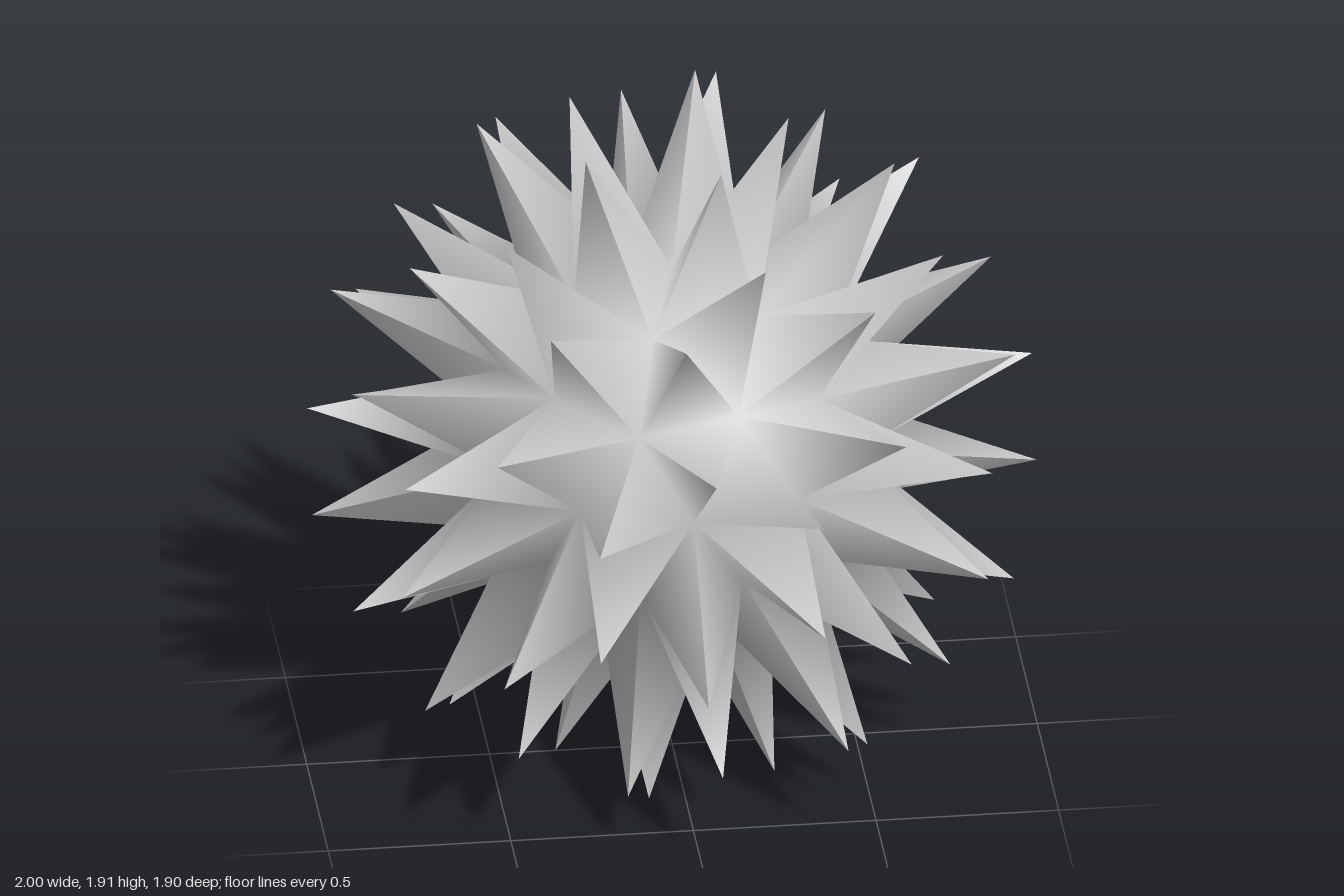
import * as THREE from 'three';

const CORE = 0.51;    // radius of the dimples between spikes
const SPIKE = 0.528;  // spike length above its triangular base
const CENTRE_Y = 0.958;

// The twenty triangles of an icosahedron standing on a corner
function icosahedronFaces() {
  const ring = (y, offset) => Array.from({ length: 5 }, (_, k) => {
    const a = offset + k * Math.PI * 2 / 5, r = 2 / Math.sqrt(5);
    return new THREE.Vector3(r * Math.cos(a), y, r * Math.sin(a));
  });
  const top = new THREE.Vector3(0, 1, 0), bottom = new THREE.Vector3(0, -1, 0);
  const upper = ring(1 / Math.sqrt(5), Math.PI / 5);
  const lower = ring(-1 / Math.sqrt(5), 0);
  const faces = [];
  for (let k = 0; k < 5; k++) {
    const n = (k + 1) % 5;
    faces.push([top, upper[k], upper[n]], [upper[k], upper[n], lower[n]],
      [lower[k], lower[n], upper[k]], [bottom, lower[k], lower[n]]);
  }
  return faces;
}

// Split each triangle into four, pushing the new corners out to the sphere
function subdivide([a, b, c]) {
  const mid = (p, q) => p.clone().add(q).normalize();
  const ab = mid(a, b), bc = mid(b, c), ca = mid(c, a);
  return [[a, ab, ca], [b, bc, ab], [c, ca, bc], [ab, bc, ca]];
}

// Three-sided spike: soft shading at the dimples, crisp edges at the tip
function spikeGeometry(corners) {
  let [a, b, c] = corners.map((p) => p.clone().multiplyScalar(CORE));
  const normal = new THREE.Triangle(a, b, c).getNormal(new THREE.Vector3());
  if (normal.dot(a) < 0) {
    [b, c] = [c, b];
    normal.negate();
  }
  const tip = a.clone().add(b).add(c).divideScalar(3).addScaledVector(normal, SPIKE);
  const positions = [], normals = [];
  for (const [p, q] of [[a, b], [b, c], [c, a]]) {
    const side = new THREE.Triangle(p, q, tip).getNormal(new THREE.Vector3());
    positions.push(...p, ...q, ...tip);
    normals.push(...p.clone().normalize(), ...q.clone().normalize(), ...side);
  }
  const geometry = new THREE.BufferGeometry();
  geometry.setAttribute('position', new THREE.Float32BufferAttribute(positions, 3));
  geometry.setAttribute('normal', new THREE.Float32BufferAttribute(normals, 3));
  return geometry;
}

export function createModel() {
  const grey = new THREE.MeshStandardMaterial({ color: 0xcccccc });
  grey.name = 'light grey';
  const model = new THREE.Group();
  model.name = 'spikedBall';
  for (const triangle of icosahedronFaces().flatMap(subdivide)) {
    const spike = new THREE.Mesh(spikeGeometry(triangle), grey);
    spike.name = 'spike';
    spike.position.y = CENTRE_Y;
    model.add(spike);
  }
  return model;
}
